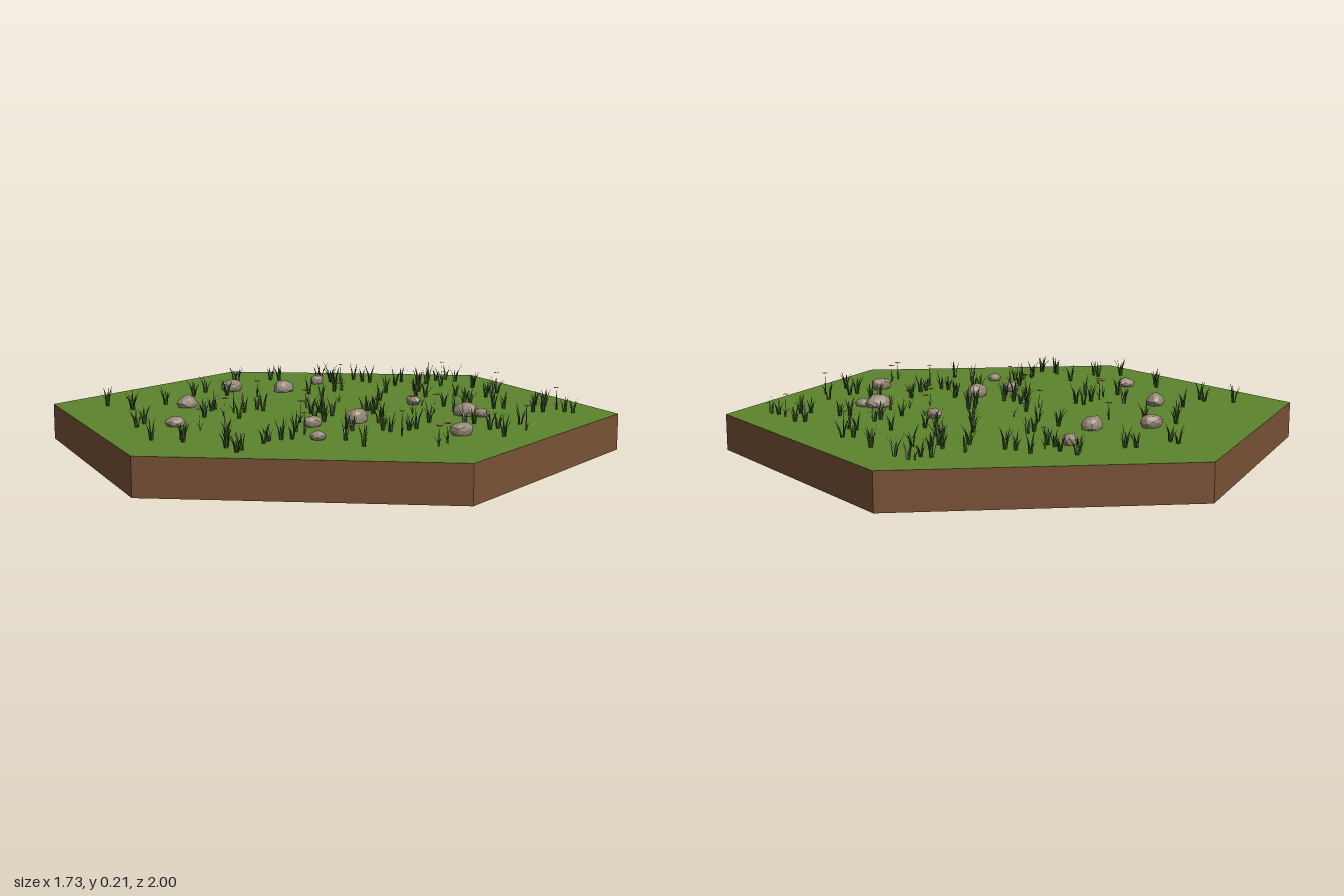
import * as THREE from 'three';
import { mergeGeometries } from 'three/addons/utils/BufferGeometryUtils.js';

const TOP = 0.126;

// Grass tuft positions as x, z pairs
const TUFTS = [
  -0.08, -0.72, 0.09, -0.70, 0.27, -0.69, 0.28, -0.62, 0.37, -0.59, 0.26, -0.53, 0.40, -0.50,
  -0.28, -0.53, -0.35, -0.46, -0.23, -0.43, 0.64, -0.46, 0.71, -0.44, 0.52, -0.46, 0.45, -0.38,
  0.55, -0.38, 0.72, -0.38, 0.53, -0.33, 0.61, -0.30, 0.21, -0.36, 0.06, -0.33, -0.70, -0.38,
  -0.50, -0.33, -0.64, -0.27, -0.37, -0.16, 0.47, -0.22, 0.34, -0.24, 0.70, -0.21, 0.07, -0.23,
  0.40, -0.11, 0.54, -0.06, 0.72, -0.06, 0.24, -0.09, 0.00, -0.07, -0.30, -0.06, -0.23, -0.06,
  -0.46, -0.02, -0.68, 0.01, -0.72, 0.06, -0.36, 0.05, -0.10, 0.06, -0.05, 0.13, 0.14, 0.08,
  0.39, 0.12, 0.48, 0.11, 0.64, 0.04, 0.06, 0.15, 0.37, 0.23, 0.53, 0.23, 0.73, 0.25,
  0.72, 0.39, 0.65, 0.36, -0.12, 0.22, -0.11, 0.37, 0.06, 0.29, 0.19, 0.38, -0.74, 0.29,
  -0.66, 0.36, -0.50, 0.31, -0.57, 0.50, -0.54, 0.55, -0.44, 0.48, -0.37, 0.45, -0.28, 0.35,
  -0.19, 0.54, 0.00, 0.47, 0.10, 0.46, 0.28, 0.46, 0.45, 0.53, 0.31, 0.57, 0.29, 0.69, -0.18, 0.65,
];

// Rocks: x, z, half length, turn
const ROCKS = [
  [-0.18, -0.52, 0.045, 0.1], [0.195, -0.56, 0.034, 0.6], [0, -0.43, 0.043, 0],
  [-0.445, -0.245, 0.043, 0.4], [-0.6, 0.095, 0.035, 0], [0.315, 0.03, 0.034, 1.6],
  [-0.19, 0.28, 0.035, 0], [-0.025, 0.27, 0.046, 0.1], [0.375, 0.305, 0.046, -0.2],
  [0.41, 0.35, 0.03, -0.7], [-0.265, 0.495, 0.029, -0.5], [0.18, 0.61, 0.042, -0.1],
];

const RED_FLOWERS = [
  [-0.14, -0.35], [-0.39, -0.02], [-0.07, -0.05], [0.09, -0.12], [-0.2, 0.2],
  [0.215, 0.215], [0.3, 0.215], [0.325, 0.075], [0.025, 0.745], [0.075, 0.71],
];
const MAUVE_FLOWERS = [
  [-0.34, -0.06], [-0.27, 0.4], [0, 0.55], [0.41, 0.63], [0.71, -0.05],
  [0.72, 0.34], [0.7, -0.46], [-0.55, 0.2], [0.3, -0.57],
];

function seeded(seed) {
  let s = seed;
  return () => (s = (s * 16807) % 2147483647) / 2147483647;
}

// A tapering blade that bends outward as it rises
function blade(x, z, angle, height, lean, width) {
  const dx = Math.cos(angle), dz = Math.sin(angle);
  const pos = [];
  for (const [t, w] of [[0, 1], [0.5, 0.8], [1, 0.05]]) {
    for (const side of [-1, 1]) {
      const out = lean * t * t, across = side * w * width / 2;
      pos.push(x + dx * out - dz * across, TOP + height * t, z + dz * out + dx * across);
    }
  }
  const g = new THREE.BufferGeometry();
  g.setAttribute('position', new THREE.Float32BufferAttribute(pos, 3));
  g.setIndex([0, 2, 1, 1, 2, 3, 2, 4, 3, 3, 4, 5]);
  g.computeVertexNormals();
  return g;
}

function rockGeometry(seed) {
  const g = new THREE.IcosahedronGeometry(1, 1);
  const p = g.attributes.position, v = new THREE.Vector3();
  // Lumps depend on position only, so shared corners stay together
  for (let i = 0; i < p.count; i++) {
    v.fromBufferAttribute(p, i);
    const lump = Math.sin(v.x * 3.1 + seed) * Math.cos(v.z * 2.7 - seed * 2) + 0.6 * Math.sin(v.y * 4 + seed * 3);
    v.multiplyScalar(0.96 + 0.09 * lump);
    p.setXYZ(i, v.x, v.y, v.z);
  }
  g.computeVertexNormals();
  return g;
}

export function createModel() {
  const model = new THREE.Group();
  const rand = seeded(4217);
  const material = (name, color, options = {}) => {
    const m = new THREE.MeshStandardMaterial({ color, ...options });
    m.name = name;
    return m;
  };
  const soil = material('soil brown', 0x7a5236, { flatShading: true });
  const turf = material('turf green', 0x5c842d);
  const grass = material('grass green', 0x36591d, { side: THREE.DoubleSide });
  const stone = material('stone grey', 0x968777, { flatShading: true });
  const red = material('petal red', 0xb5352a, { side: THREE.DoubleSide });
  const mauve = material('petal mauve', 0x75657a, { side: THREE.DoubleSide });
  const add = (name, geometry, mat, parent = model) => {
    const mesh = new THREE.Mesh(geometry, mat);
    mesh.name = name;
    parent.add(mesh);
    return mesh;
  };

  // Hexagonal slab: soil sides and underside, turf on top
  add('hexTile', new THREE.CylinderGeometry(1, 1, TOP, 6), [soil, turf, soil]).position.y = TOP / 2;

  // Grass tufts, some with a smaller neighbour
  const blades = [];
  const tuft = (x, z, scale) => {
    const count = 4 + Math.floor(rand() * 3), turn = rand() * 6.28;
    for (let i = 0; i < count; i++) {
      const a = turn + (i / count) * Math.PI * 2 + (rand() - 0.5) * 0.7;
      const h = (0.042 + rand() * 0.03) * scale;
      blades.push(blade(x + Math.cos(a) * 0.005, z + Math.sin(a) * 0.005, a, h, (0.01 + rand() * 0.018) * scale, 0.008));
    }
  };
  for (let i = 0; i < TUFTS.length; i += 2) {
    const x = TUFTS[i], z = TUFTS[i + 1];
    tuft(x, z, 1);
    if (rand() < 0.45) {
      const a = rand() * 6.28;
      tuft(x + Math.cos(a) * 0.035, z + Math.sin(a) * 0.035, 0.85);
    }
  }

  // Flowers: a thin stem, two low leaves and a ring of flat petals
  const flowers = (list, height, radius) => list.map(([x, z]) => {
    const h = height + rand() * 0.015, turn = rand() * 6.28;
    blades.push(blade(x, z, turn, h, 0.004, 0.005));
    for (const a of [0, 2.5]) blades.push(blade(x, z, turn + a, 0.03, 0.018, 0.006));
    const petals = [];
    for (let i = 0; i < 5; i++) {
      const petal = new THREE.CircleGeometry(radius * 0.5, 5);
      petal.rotateX(-Math.PI / 2).scale(1, 1, 0.7).translate(radius * 0.6, 0, 0);
      petal.rotateZ(0.25).rotateY(i * Math.PI * 0.4 + turn);
      petals.push(petal);
    }
    return mergeGeometries(petals).translate(x + Math.cos(turn) * 0.004, TOP + h, z + Math.sin(turn) * 0.004);
  });
  add('redFlowers', mergeGeometries(flowers(RED_FLOWERS, 0.055, 0.014)), red);
  add('mauveFlowers', mergeGeometries(flowers(MAUVE_FLOWERS, 0.065, 0.011)), mauve);
  add('grassAndStems', mergeGeometries(blades), grass);

  // Low rounded rocks, partly sunk in the turf
  const rocks = new THREE.Group();
  rocks.name = 'rocks';
  model.add(rocks);
  ROCKS.forEach(([x, z, r, turn], i) => {
    const rock = add('rock', rockGeometry(i * 1.7), stone, rocks);
    rock.scale.set(r, r * 0.66, r * 0.76);
    rock.rotation.y = turn;
    rock.position.set(x, TOP + r * 0.35, z);
  });
  return model;
}
